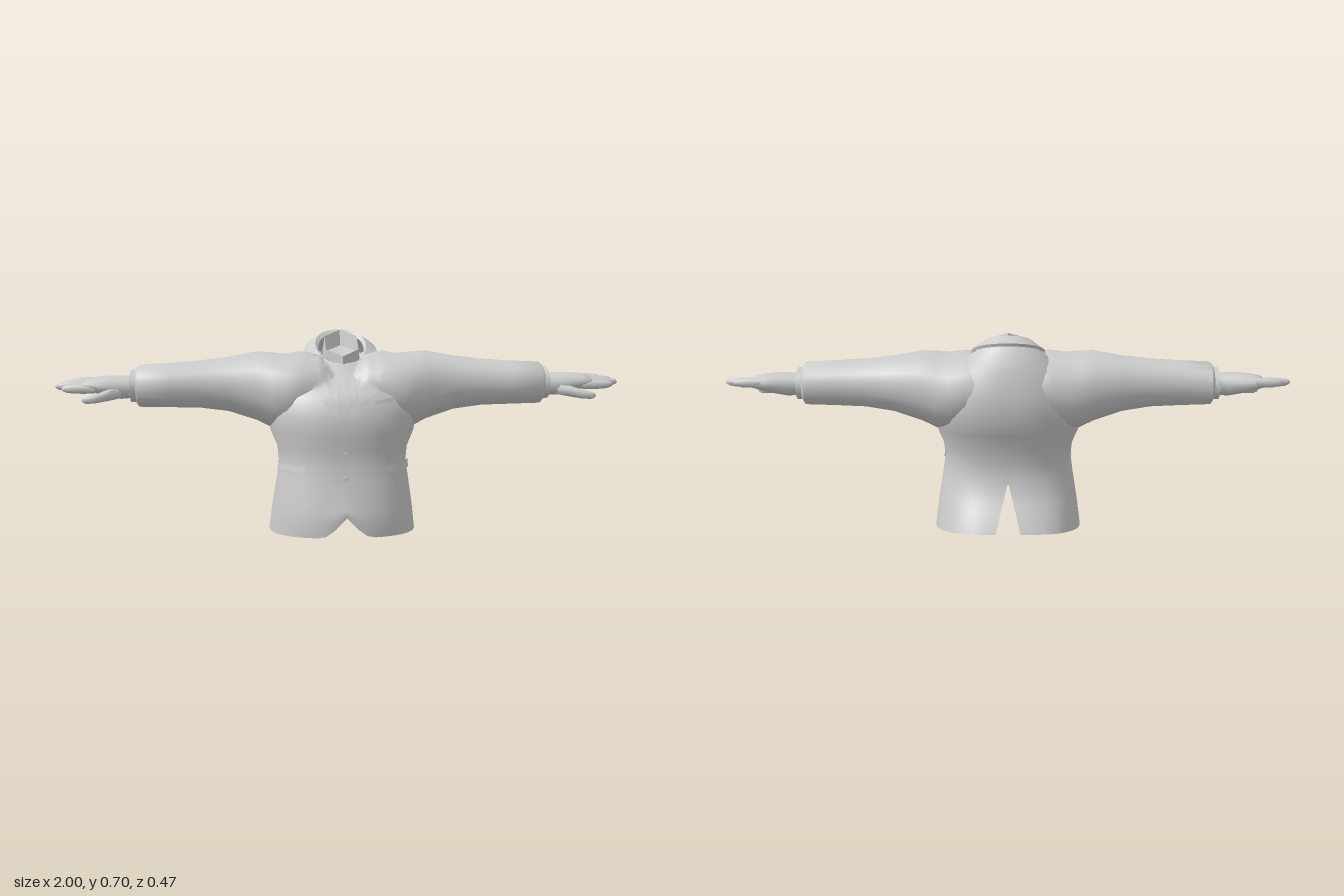
import * as THREE from 'three';
import { toCreasedNormals } from 'three/addons/utils/BufferGeometryUtils.js';

const mat = new THREE.MeshStandardMaterial({ color: 0xcccccc, side: THREE.DoubleSide });
const pw = (v, n) => Math.sign(v) * Math.abs(v) ** (2 / n);

function mesh(name, geo, parent) {
  const m = new THREE.Mesh(geo, mat);
  m.name = name;
  parent.add(m);
  return m;
}

// Skin a list of equally long point rows
function skin(rows, crease = 0.8) {
  const n = rows[0].length, idx = [];
  for (let i = 0; i < rows.length - 1; i++) for (let j = 0; j < n - 1; j++) {
    const a = i * n + j, b = a + n;
    idx.push(a, a + 1, b, a + 1, b + 1, b);
  }
  const g = new THREE.BufferGeometry();
  g.setAttribute('position', new THREE.Float32BufferAttribute(rows.flat(2), 3));
  g.setIndex(idx);
  return toCreasedNormals(g, crease);
}

// Sections along x: [x, yBottom, yTop, zBack, zFront]
function loftX(secs, sides, crease, n = 2.2) {
  return skin(secs.map(([x, yb, yt, zb, zf]) => Array.from({ length: sides + 1 }, (_, j) => {
    const a = (j % sides) / sides * Math.PI * 2;
    return [x, (yb + yt) / 2 + pw(Math.cos(a), n) * (yt - yb) / 2,
      (zb + zf) / 2 + pw(Math.sin(a), n) * (zf - zb) / 2];
  })), crease);
}

// Sections along y: [y, halfWidth, zBack, zFront, tilt]; angles run from centre back
function loftY(secs, sides, { a0 = 0, a1 = Math.PI * 2, n = 2.3, crease = 0.8, shape = p => p } = {}) {
  return skin(secs.map(([y, w, zb, zf, t = 0]) => Array.from({ length: sides + 1 }, (_, j) => {
    const a = a0 + (a1 - a0) * j / sides, dz = -pw(Math.cos(a), n) * (zf - zb) / 2;
    return shape([-pw(Math.sin(a), n) * w, y - t * dz, (zb + zf) / 2 + dz], j, sides);
  })), crease);
}

// Hem: rounded notch at the front, open vent at the back
function hemShape([x, y, z], j, sides) {
  if (y < 0.12) {
    let hem = z < 0 ? 0.025 * (z / 0.235) ** 2 : 0.008 * (z / 0.235) ** 2;
    if (z > 0) hem += 0.07 * Math.max(0, 1 - Math.abs(x) / 0.085) ** 1.4;
    y = hem + y * (1 - hem / 0.12);
  }
  const u = j / sides, near = Math.max(0, 1 - Math.min(u, 1 - u) * 7);
  if (y < 0.19) x += (u < 0.5 ? -1 : 1) * near * 0.05 * (1 - y / 0.19);
  return [x, y, z];
}

export function createModel() {
  const g = new THREE.Group();
  g.name = 'jacketedTorso';

  // Jacket body
  const body = mesh('jacketBody', loftY([
    [0, 0.26, -0.235, 0.235], [0.04, 0.255, -0.222, 0.238], [0.08, 0.25, -0.203, 0.234],
    [0.12, 0.244, -0.184, 0.227], [0.19, 0.233, -0.15, 0.213], [0.25, 0.225, -0.155, 0.203],
    [0.3, 0.23, -0.16, 0.202], [0.36, 0.255, -0.187, 0.212], [0.42, 0.265, -0.21, 0.21],
    [0.49, 0.26, -0.21, 0.188, 0.03], [0.55, 0.2, -0.195, 0.155, 0.18],
    [0.605, 0.14, -0.16, 0.1, 0.4], [0.642, 0.085, -0.115, 0.065, 0.54],
  ], 56, { shape: hemShape }), g);

  // Hidden lining that closes the inside of the body
  mesh('innerShirt', loftY([
    [0.19, 0.001, 0.02, 0.021], [0.17, 0.19, -0.12, 0.165], [0.25, 0.19, -0.125, 0.17], [0.36, 0.22, -0.16, 0.185],
  ], 32), g);

  // Neckband: faceted, tilted tube with a sunken floor
  mesh('neckband', loftY([
    [0.6, 0.075, -0.095, 0.075, 0.55], [0.66, 0.066, -0.08, 0.07, 0.56],
    [0.615, 0.055, -0.07, 0.055, 0.5], [0.605, 0.001, -0.01, -0.009],
  ], 6, { n: 2, crease: 0.3 }), g);

  // Jacket collar wrapped around the back of the neck
  mesh('jacketCollar', loftY([
    [0.64, 0.08, -0.11, 0.065, 0.5], [0.652, 0.09, -0.123, 0.068, 0.5],
    [0.628, 0.13, -0.158, 0.09, 0.4], [0.618, 0.128, -0.155, 0.09, 0.4],
  ], 24, { a0: -0.68 * Math.PI, a1: 0.68 * Math.PI }), g);

  // One side of the model, mirrored afterwards
  const side = new THREE.Group();
  side.name = 'leftSide';
  const sleeve = mesh('sleeve', loftX([
    [0, 0.4, 0.56, -0.18, 0.12], [0.08, 0.385, 0.625, -0.19, 0.14], [0.15, 0.375, 0.63, -0.19, 0.155],
    [0.2, 0.36, 0.622, -0.185, 0.158], [0.25, 0.362, 0.627, -0.175, 0.14], [0.3, 0.387, 0.63, -0.163, 0.118],
    [0.4, 0.42, 0.612, -0.138, 0.095], [0.5, 0.434, 0.6, -0.116, 0.088], [0.6, 0.437, 0.593, -0.104, 0.087],
    [0.71, 0.44, 0.588, -0.1, 0.087], [0.718, 0.45, 0.58, -0.09, 0.08], [0.71, 0.5, 0.53, -0.02, 0.01],
  ], 24), side);
  mesh('shirtCuff', loftX([
    [0.69, 0.458, 0.568, -0.082, 0.07], [0.738, 0.456, 0.57, -0.084, 0.072],
    [0.74, 0.466, 0.56, -0.074, 0.062], [0.73, 0.5, 0.52, -0.02, 0.01],
  ], 12), side);

  // Hand
  const hand = new THREE.Group();
  hand.name = 'hand';
  side.add(hand);
  mesh('palm', loftX([
    [0.72, 0.472, 0.548, -0.05, 0.045], [0.775, 0.468, 0.55, -0.055, 0.052], [0.82, 0.478, 0.55, -0.066, 0.056],
    [0.865, 0.49, 0.545, -0.073, 0.052], [0.895, 0.5, 0.537, -0.07, 0.048], [0.905, 0.515, 0.525, -0.05, 0.03],
  ], 14, 1), hand);
  [[0.035, 0.508, 0.975], [0.005, 0.514, 1], [-0.027, 0.519, 0.99], [-0.057, 0.523, 0.96]].forEach(([z, y, tip], i) => {
    const sec = (x, r) => [x, y - r, y + r, z - r, z + r];
    mesh('finger' + (i + 1), loftX([
      sec(0.86, 0.016), sec(0.9, 0.017), sec((0.9 + tip) / 2, 0.0155), sec(tip - 0.015, 0.012),
      sec(tip - 0.004, 0.007), sec(tip, 0.0005),
    ], 8, 1, 2), hand);
  });
  mesh('thumb', loftX([
    [0.77, 0.475, 0.515, 0.02, 0.05], [0.81, 0.468, 0.508, 0.032, 0.072], [0.85, 0.462, 0.494, 0.051, 0.084],
    [0.885, 0.46, 0.486, 0.062, 0.087], [0.898, 0.465, 0.48, 0.068, 0.082], [0.902, 0.472, 0.473, 0.075, 0.076],
  ], 8, 1), hand);

  // Drape a four-cornered patch over the jacket: [a, y] corners, a = x (front) or z (side)
  const ray = new THREE.Raycaster();
  const drape = (name, c, lift, parent, fromSide = false, targets = [body, sleeve]) => {
    const n = 8, lerp = THREE.MathUtils.lerp, rows = [];
    for (let i = 0; i <= n; i++) {
      rows.push([]);
      for (let j = 0; j <= n; j++) {
        const at = k => lerp(lerp(c[3][k], c[2][k], j / n), lerp(c[0][k], c[1][k], j / n), i / n);
        const a = at(0), y = at(1);
        ray.set(fromSide ? new THREE.Vector3(2, y, a) : new THREE.Vector3(a, y, 2),
          fromSide ? new THREE.Vector3(-1, 0, 0) : new THREE.Vector3(0, 0, -1));
        const hit = ray.intersectObjects(targets)[0];
        const d = (hit ? (fromSide ? hit.point.x : hit.point.z) : 0.06) + lift;
        rows[i].push(fromSide ? [d, y, a] : [a, y, d]);
      }
    }
    return mesh(name, skin(rows), parent);
  };

  // Shirt front, shirt collar tips, lapels and pocket flaps
  drape('shirtFront', [[0, 0.59], [0.06, 0.6], [0.04, 0.49], [0, 0.39]], 0.003, side);
  drape('shirtCollarTip', [[0.005, 0.592], [0.06, 0.605], [0.055, 0.56], [0.035, 0.535]], 0.012, side);
  drape('upperLapel', [[0.065, 0.62], [0.115, 0.615], [0.132, 0.575], [0.075, 0.555]], 0.012, side);
  drape('lowerLapel', [[0.06, 0.585], [0.125, 0.56], [0.105, 0.5], [0.001, 0.388]], 0.01, side);
  drape('pocketFlap', [[0.175, 0.255], [0.06, 0.255], [0.065, 0.228], [0.184, 0.228]], 0.007, side, true, [body]);

  g.add(side);
  const right = side.clone();
  right.name = 'rightSide';
  right.scale.x = -1;
  g.add(right);

  // Breast pocket and buttons
  drape('breastPocket', [[0.1, 0.475], [0.165, 0.482], [0.165, 0.468], [0.1, 0.461]], 0.006, g);
  for (const [y, z] of [[0.295, 0.205], [0.21, 0.212]]) {
    const b = mesh('button', new THREE.CylinderGeometry(0.008, 0.008, 0.01, 10), g);
    b.rotation.x = Math.PI / 2;
    b.position.set(0, y, z);
  }
  return g;
}
